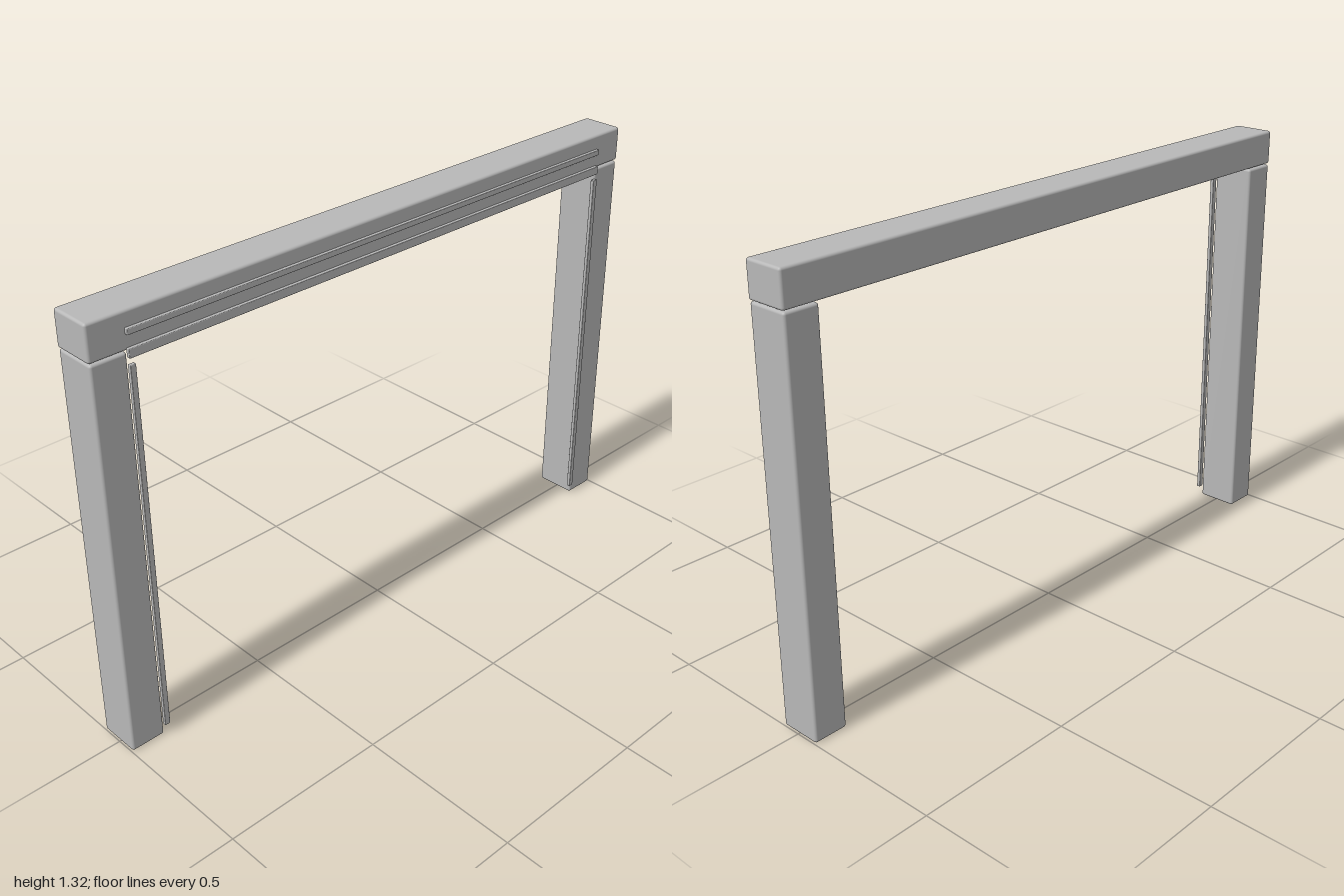
import * as THREE from 'three';
import { RoundedBoxGeometry } from 'three/addons/geometries/RoundedBoxGeometry.js';

export function createModel() {
  const group = new THREE.Group();
  group.name = 'doorFrame';
  const grey = new THREE.MeshStandardMaterial({ color: 0xb8b8b8 });
  grey.name = 'grey';

  // Softly rounded block given by its min and max corners
  function block(name, min, max, radius) {
    const size = max.map((v, i) => v - min[i]);
    const mesh = new THREE.Mesh(new RoundedBoxGeometry(...size, 2, radius), grey);
    mesh.position.set(...max.map((v, i) => (v + min[i]) / 2));
    mesh.name = name;
    group.add(mesh);
  }

  const back = -0.071, front = 0.06, trimFront = 0.071;

  // Top beam
  block('lintel', [-1, 1.213, back], [1, 1.32, front], 0.008);

  // Posts with a thin stop strip along each inner front edge
  for (const [side, s] of [['left', 1], ['right', -1]]) {
    const span = (a, b) => (s > 0 ? [a, b] : [-b, -a]);
    const [p0, p1] = span(0.89, 0.997);
    block(side + 'Post', [p0, 0, back], [p1, 1.21, front], 0.008);
    const [t0, t1] = span(0.874, 0.891);
    block(side + 'Stop', [t0, 0.036, front - 0.001], [t1, 1.177, trimFront], 0.002);
  }

  // Horizontal strips on the front of the beam
  block('lowerTrim', [-0.891, 1.195, front - 0.001], [0.891, 1.221, trimFront], 0.002);
  block('upperTrim', [-0.891, 1.258, front - 0.001], [0.891, 1.275, trimFront], 0.002);

  return group;
}
